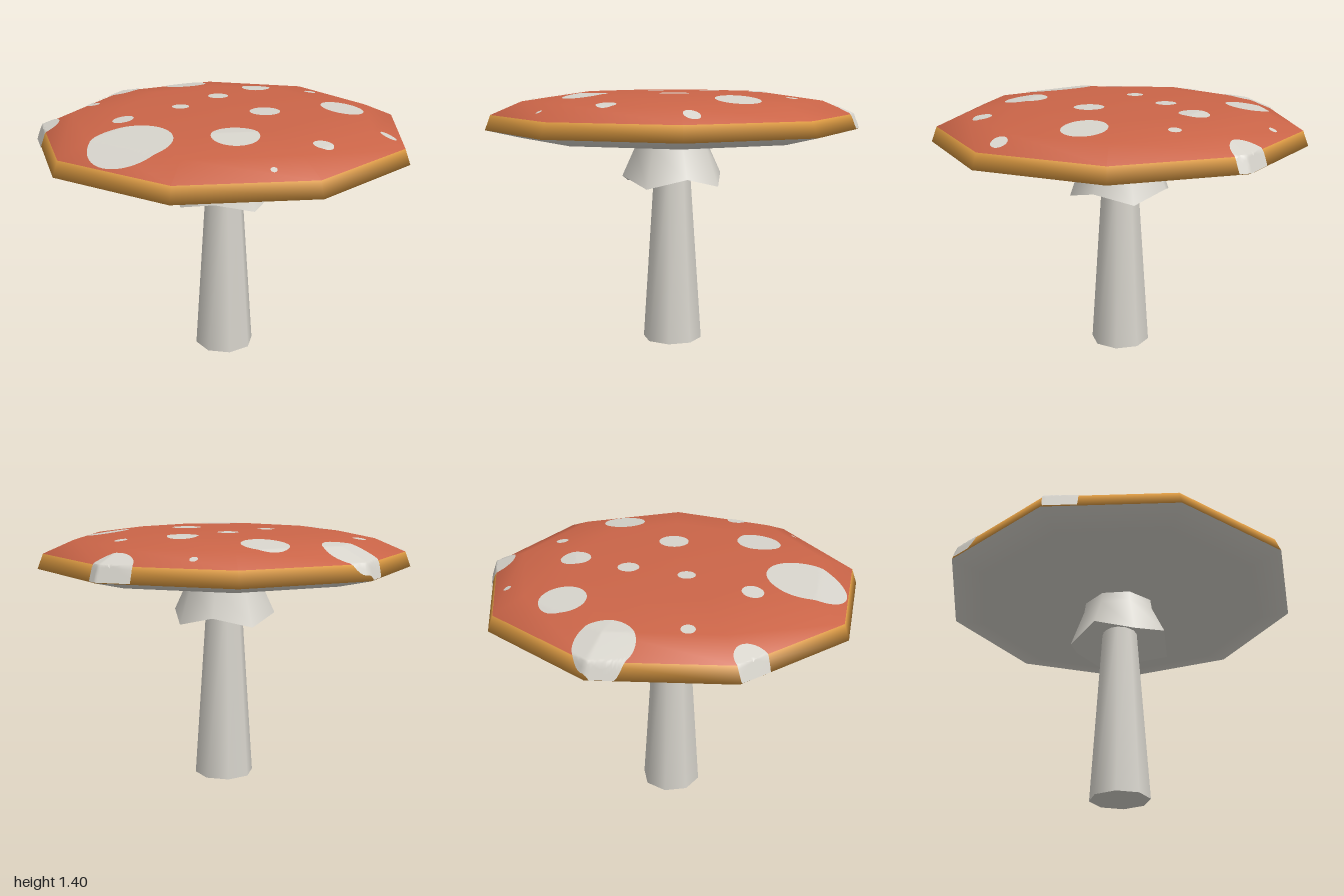
import * as THREE from 'three';
import { mergeGeometries } from 'three/addons/utils/BufferGeometryUtils.js';

const SIDES = 9, CENTRE_Z = 0.03;

// upper cap profile, rim to crown: [radius at the corners, height]
const TOP = [[1.015, 1.2], [0.985, 1.28], [0.82, 1.35], [0.53, 1.39], [0, 1.392]];
// underside profile, centre to rim
const UNDER = [[0, 1.165], [0.25, 1.16], [0.82, 1.155]];

// spots: x, z, radius
const SPOTS = [
  [-0.06, 0.74, 0.205], [-0.855, -0.09, 0.145], [-0.55, -0.385, 0.118], [0.5, -0.36, 0.115],
  [0.34, 0.44, 0.118], [0.23, 0.01 - 0.02, 0.08], [-0.105, -0.46, 0.08], [-0.165, -0.16, 0.056],
  [-0.195, 0.15, 0.046], [-0.705, 0.265, 0.035], [-0.3, 0.5, 0.055], [0.715, 0.255, 0.05],
  [0.858, -0.17, 0.042], [0.16, -0.625, 0.033], [-0.39, -0.735, 0.02], [0.65, 0.6, 0.016],
  [-0.79, 0.58, 0.09], [-0.055, -0.94, 0.112],
];

const lathe = (pts, sides, start) =>
  new THREE.LatheGeometry(pts.map(([r, y]) => new THREE.Vector2(r, y)), sides, start);

// corner radius of the nine-sided ring passing through a point
function ringRadius(x, z) {
  const step = (Math.PI * 2) / SIDES;
  const a = Math.atan2(x, z);
  const off = a - Math.round(a / step) * step;
  return Math.hypot(x, z) * Math.cos(off) / Math.cos(step / 2);
}

// height of the cap surface on a given ring
function capHeight(r) {
  for (let i = 0; i < TOP.length - 1; i++) {
    const [r0, y0] = TOP[i], [r1, y1] = TOP[i + 1];
    if (r >= r1) return y0 + (y1 - y0) * (r0 - r) / (r0 - r1);
  }
  return TOP[TOP.length - 1][1];
}

// thin disc draped over the cap and cut off at the rim
function spotGeometry([x, z, radius]) {
  const g = new THREE.RingGeometry(0, radius, radius > 0.08 ? 56 : 24, Math.ceil(radius / 0.01));
  g.rotateX(-Math.PI / 2);
  g.translate(x, 0, z - CENTRE_Z);
  const p = g.attributes.position;
  for (let i = 0; i < p.count; i++) {
    const r = ringRadius(p.getX(i), p.getZ(i));
    const k = Math.min(1, TOP[0][0] / r);
    p.setXYZ(i, p.getX(i) * k * 1.005, capHeight(Math.min(r, TOP[0][0])) + 0.004, p.getZ(i) * k * 1.005);
  }
  g.computeVertexNormals();
  return g;
}

// alternate low and high points along the skirt hem
function zigzag(g, pointsPerColumn, hemIndex) {
  const p = g.attributes.position;
  for (let i = hemIndex, n = 0; i < p.count; i += pointsPerColumn, n++) p.setY(i, n % 2 ? 0.94 : 0.885);
  return g;
}

export function createModel() {
  const red = new THREE.MeshStandardMaterial({ color: 0xcb6548 });
  red.name = 'cap red';
  const gold = new THREE.MeshStandardMaterial({ color: 0xdc9a42 });
  gold.name = 'rim gold';
  const white = new THREE.MeshStandardMaterial({ color: 0xd6d3cb });
  white.name = 'off white';

  const group = new THREE.Group();
  group.name = 'mushroom';
  const add = (name, geometry, material) => {
    const mesh = new THREE.Mesh(geometry, material);
    mesh.name = name;
    mesh.position.z = CENTRE_Z;
    group.add(mesh);
  };

  // cap: white underside, gold rim band, red crown
  const profile = [...UNDER, ...TOP];
  const cap = lathe(profile, SIDES, Math.PI);
  const bands = profile.length - 1;
  for (let i = 0; i < SIDES * bands; i++) {
    const band = i % bands;
    cap.addGroup(i * 6, 6, band < UNDER.length ? 0 : band === UNDER.length ? 1 : 2);
  }
  add('cap', cap, [white, gold, red]);
  add('spots', mergeGeometries(SPOTS.map(spotGeometry)), white);

  // skirt under the cap, outside and inside
  const turn = -0.37;
  add('skirt', zigzag(lathe([[0.285, 0.9], [0.21, 1.1], [0.2, 1.165]], 8, turn), 3, 0), white);
  add('skirtInside', zigzag(lathe([[0.095, 0.99], [0.285, 0.9]], 8, turn), 2, 1), white);

  // tapered stem
  const stem = new THREE.CylinderGeometry(0.097, 0.165, 1.02, 8);
  stem.translate(0, 0.51, 0);
  add('stem', stem, white);

  return group;
}
